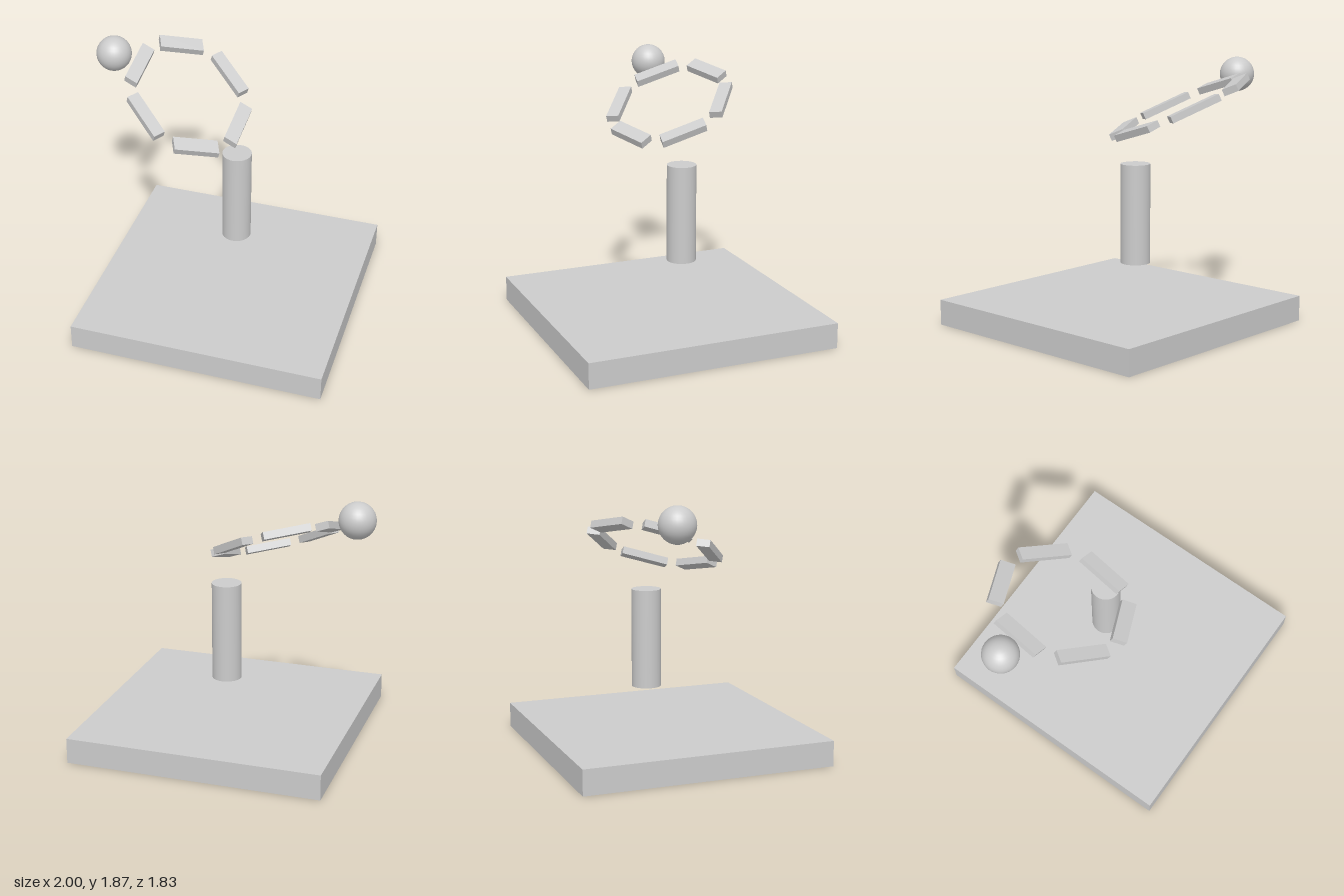
import * as THREE from 'three';

const material = new THREE.MeshStandardMaterial({ color: 0xcccccc });

function addPart(group, name, geometry, x, y, z) {
  const mesh = new THREE.Mesh(geometry, material);
  mesh.name = name;
  mesh.position.set(x, y, z);
  group.add(mesh);
}

// Tilted, slightly skewed ring of six bars
function createRing() {
  const ring = new THREE.Group();
  ring.name = 'barRing';
  ring.position.set(-0.30, 1.543, -0.21);

  // Two half-axes of the ring plane and its normal
  const u = new THREE.Vector3(0.383, -0.142, 0.06);
  const v = new THREE.Vector3(-0.02, -0.117, 0.395);
  const n = new THREE.Vector3().crossVectors(v, u).normalize();
  const skew = new THREE.Matrix4().makeBasis(u, n, v);

  for (let i = 0; i < 6; i++) {
    const bar = new THREE.BoxGeometry(0.24, 0.05, 0.826);
    bar.translate(1, 0, 0);
    bar.rotateY(-i * Math.PI / 3);
    bar.applyMatrix4(skew);
    addPart(ring, 'ringBar' + (i + 1), bar, 0, 0, 0);
  }
  return ring;
}

export function createModel() {
  const model = new THREE.Group();
  model.name = 'floatingRingSculpture';

  // Square slab, floating column and ball
  addPart(model, 'baseSlab', new THREE.BoxGeometry(1.825, 0.183, 1.825), 0.0875, 0.0915, -0.002);
  addPart(model, 'column', new THREE.CylinderGeometry(0.105, 0.105, 0.707, 32), 0.084, 0.819, -0.137);
  addPart(model, 'ball', new THREE.SphereGeometry(0.126, 32, 16), -0.874, 1.746, -0.277);

  model.add(createRing());
  return model;
}
